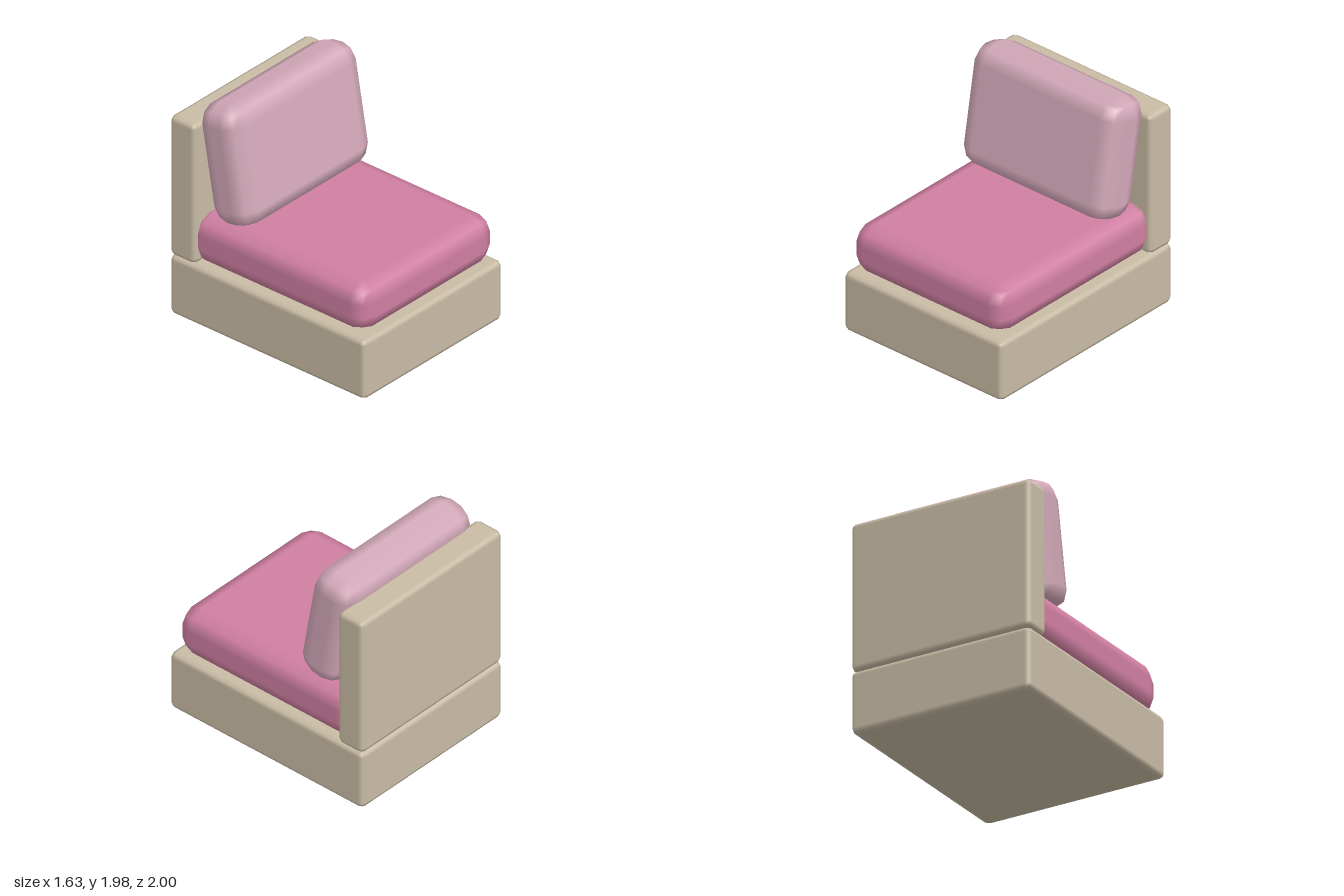
import * as THREE from 'three';
import { RoundedBoxGeometry } from 'three/addons/geometries/RoundedBoxGeometry.js';

function makeMaterial(name, color) {
  const material = new THREE.MeshStandardMaterial({ color });
  material.name = name;
  return material;
}

export function createModel() {
  const model = new THREE.Group();
  model.name = 'armlessSofaSeat';

  const beige = makeMaterial('beige upholstery', 0xc9bca5);
  const rose = makeMaterial('rose fabric', 0xd07fa2);
  const palePink = makeMaterial('pale pink fabric', 0xd2a8b8);

  // Rounded block given by its size, centre, edge radius and edge segments
  function addBlock(name, material, size, centre, radius, segments) {
    const mesh = new THREE.Mesh(new RoundedBoxGeometry(...size, segments, radius), material);
    mesh.name = name;
    mesh.position.set(...centre);
    model.add(mesh);
    return mesh;
  }

  // Frame: plinth and upright back panel with tight edges
  addBlock('base', beige, [1.63, 0.53, 2.0], [0, 0.265, 0], 0.045, 1);
  addBlock('backPanel', beige, [1.63, 1.26, 0.26], [0, 1.16, -0.87], 0.045, 1);

  // Seat cushion, tucked slightly into the back panel
  addBlock('seatCushion', rose, [1.58, 0.42, 1.82], [0, 0.74, 0.06], 0.15, 1);

  // Loose back cushion leaning on the panel
  const backCushion = addBlock('backCushion', palePink, [1.53, 1.045, 0.42], [0, 1.452, -0.522], 0.16, 1);
  backCushion.rotation.x = THREE.MathUtils.degToRad(-10);

  return model;
}
